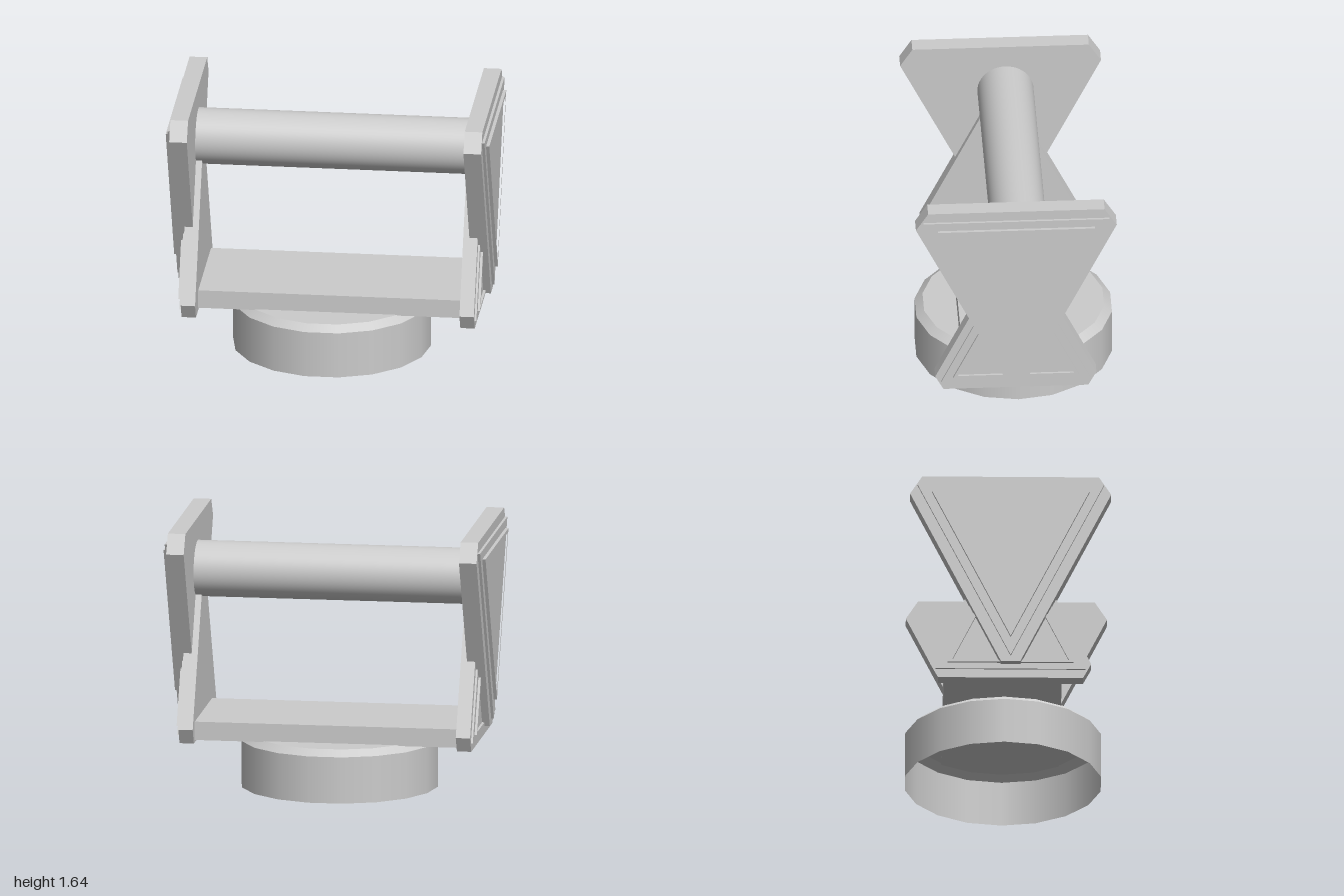
import * as THREE from 'three';

const material = new THREE.MeshStandardMaterial({ color: 0xcccccc });
const shellMaterial = new THREE.MeshStandardMaterial({ color: 0xcccccc, side: THREE.DoubleSide });

function addMesh(parent, name, geometry, mat = material) {
  const mesh = new THREE.Mesh(geometry, mat);
  mesh.name = name;
  parent.add(mesh);
  return mesh;
}

const outline = (points) => points.map(([z, y]) => new THREE.Vector2(z, y));
const triangle = (half, baseY, tipY) => outline([[-half, baseY], [half, baseY], [0, tipY]]);

// Slab with the given side outline, running from x0 to x1
function slab(points, x0, x1, hole) {
  const shape = new THREE.Shape(points);
  if (hole) shape.holes.push(new THREE.Path(hole));
  const geometry = new THREE.ExtrudeGeometry(shape, { depth: x1 - x0, bevelEnabled: false });
  return geometry.translate(0, 0, x0).rotateY(Math.PI / 2);
}

// One end support: two opposed tapering plates, each with a stepped triangular panel
function createSupport() {
  const support = new THREE.Group();

  // Lower plate, wide at the bottom
  addMesh(support, 'lowerPlate', slab(outline([
    [-0.446, 0.31], [0.446, 0.31], [0.496, 0.404],
    [0.058, 1.29], [-0.058, 1.29], [-0.496, 0.404],
  ]), 0.817, 0.906));
  addMesh(support, 'lowerPanel', slab(triangle(0.462, 0.365, 1.3), 0.9, 0.918));
  addMesh(support, 'lowerPanelFrame',
    slab(triangle(0.388, 0.404, 1.19), 0.917, 0.933, triangle(0.358, 0.42, 1.145)));

  // Upper plate, wide at the top
  addMesh(support, 'upperPlate', slab(outline([
    [-0.06, 0.396], [0.06, 0.396], [0.618, 1.526],
    [0.543, 1.643], [-0.543, 1.643], [-0.618, 1.526],
  ]), 0.855, 0.964));
  addMesh(support, 'upperPanel', slab(triangle(0.572, 1.58, 0.43), 0.96, 0.98));
  addMesh(support, 'upperPanelFrame',
    slab(triangle(0.483, 1.527, 0.55), 0.979, 1.0, triangle(0.448, 1.504, 0.593)));
  return support;
}

export function createModel() {
  const model = new THREE.Group();
  model.name = 'model';

  // Matching supports at both ends
  ['leftSupport', 'rightSupport'].forEach((name, i) => {
    const support = createSupport();
    support.name = name;
    support.rotation.y = i * Math.PI;
    support.position.z = 0.008;
    model.add(support);
  });

  // Round crossbar between the supports
  const bar = addMesh(model, 'crossbar',
    new THREE.CylinderGeometry(0.173, 0.173, 1.72, 48).rotateZ(Math.PI / 2));
  bar.position.set(0, 1.327, -0.022);

  // Flat shelf joining the lower plates
  const shelf = addMesh(model, 'shelf', new THREE.BoxGeometry(1.66, 0.115, 0.725));
  shelf.position.set(0, 0.3825, -0.038);

  // Hollow base, open below, with a chamfered top
  const base = new THREE.Group();
  base.name = 'base';
  base.position.set(-0.028, 0, -0.026);
  base.rotation.y = Math.PI / 18;
  model.add(base);
  const sides = 18;
  addMesh(base, 'baseWall',
    new THREE.CylinderGeometry(0.611, 0.611, 0.29, sides, 1, true).translate(0, 0.145, 0), shellMaterial);
  addMesh(base, 'baseChamfer',
    new THREE.CylinderGeometry(0.562, 0.611, 0.04, sides, 1, true).translate(0, 0.31, 0), shellMaterial);
  addMesh(base, 'baseTop',
    new THREE.CircleGeometry(0.562, sides, Math.PI / 2).rotateX(-Math.PI / 2).translate(0, 0.33, 0), shellMaterial);

  return model;
}
